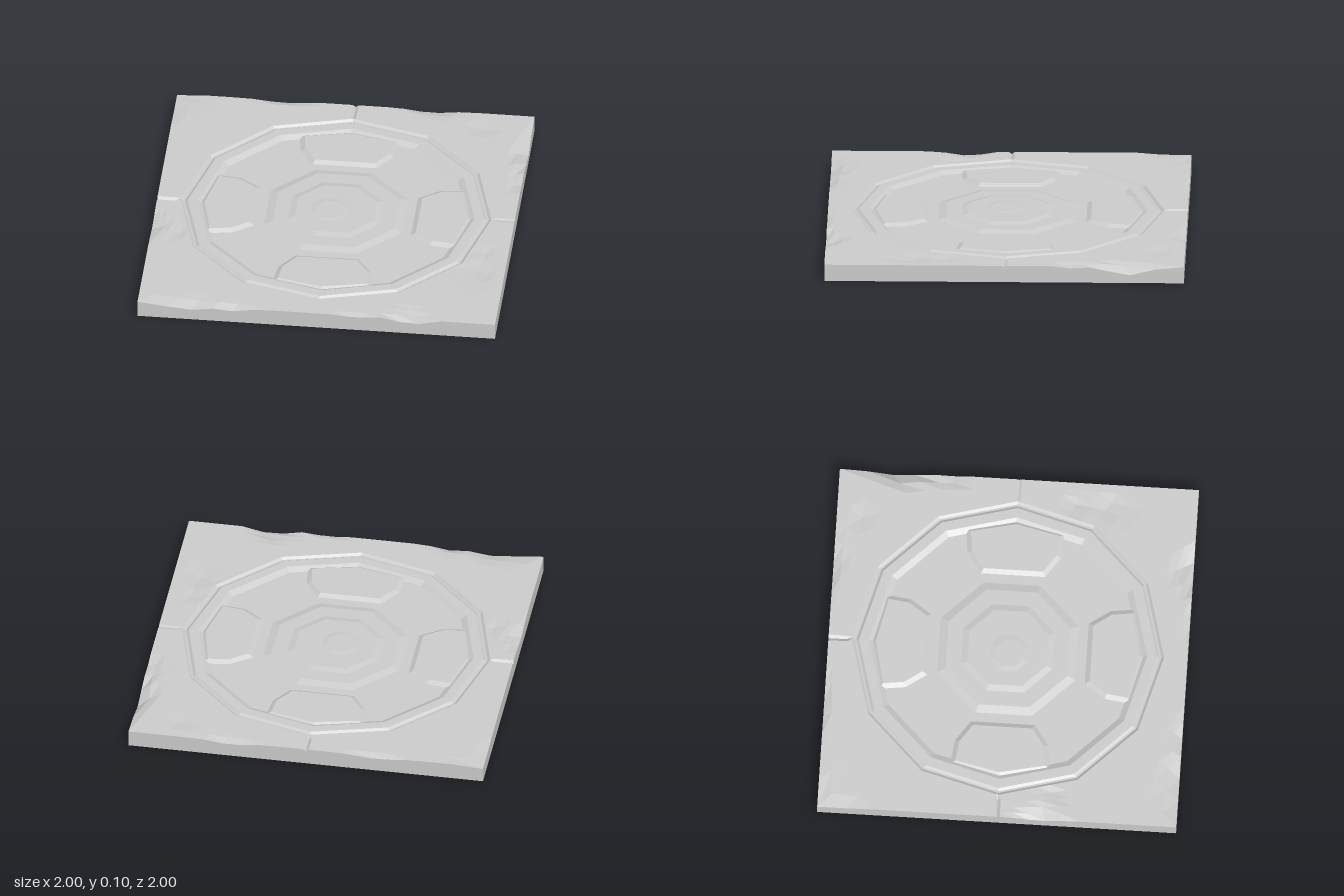
import * as THREE from 'three';

const TOP = 0.095;    // slab surface
const FLOOR = 0.077;  // sunken basin floor
const R = 0.87;       // outer radius of the twelve-sided ring

const stone = new THREE.MeshStandardMaterial({ color: 0xcccccc, flatShading: true });

function addMesh(parent, name, geometry) {
  const mesh = new THREE.Mesh(geometry, stone);
  mesh.name = name;
  parent.add(mesh);
  return mesh;
}

// Broken spots along the rim: x, z, half width, half length, depth
const chips = [
  [1.0, -0.69, 0.10, 0.20, 0.05], [0.98, -0.40, 0.09, 0.14, 0.018],
  [0.86, 0.50, 0.14, 0.18, 0.01], [0.86, 0.32, 0.09, 0.08, 0.008],
  [-0.72, 1.0, 0.22, 0.12, 0.03], [-0.46, 1.0, 0.12, 0.06, 0.022],
  [0.53, 1.0, 0.16, 0.13, 0.03], [0.22, 1.0, 0.14, 0.04, 0.01],
  [-1.0, 0.24, 0.10, 0.17, 0.022], [-0.84, 0.30, 0.09, 0.10, 0.008],
  [-1.0, -0.92, 0.09, 0.14, 0.02], [-0.40, -1.0, 0.20, 0.04, 0.015],
  [0.42, -1.0, 0.18, 0.07, 0.018], [0.74, -0.85, 0.10, 0.08, 0.008],
];

function surfaceHeight(x, z) {
  let cut = 0;
  for (const [cx, cz, rx, rz, depth] of chips) {
    const d = Math.abs(x - cx) / rx + Math.abs(z - cz) / rz;
    cut = Math.max(cut, depth * Math.min(1, 1.25 * (1 - d)));
  }
  // Joints running from the ring to the back, left and right edges
  if (Math.abs(x) < 0.001 && z < 0) cut = Math.max(cut, 0.012);
  if (Math.abs(z) < 0.001) cut = Math.max(cut, x < 0 ? 0.012 : 0.006);
  return TOP - cut;
}

// Square slab around the ring: rows run from ring to rim, down the wall, to the bottom centre
function slabGeometry() {
  const angles = [];
  for (let deg = 0; deg < 360; deg += 5) {
    if (deg % 90 === 0) angles.push(deg - 1, deg, deg + 1); // narrow joints
    else angles.push(deg);
  }
  const N = angles.length, STEPS = 5, rows = STEPS + 3;
  const positions = [], index = [];
  for (let k = 0; k < rows; k++) {
    for (const deg of angles) {
      const a = THREE.MathUtils.degToRad(deg);
      const s = Math.sin(a), c = Math.cos(a);
      const local = THREE.MathUtils.degToRad(((deg + 30) % 30) - 15);
      const inner = (R * Math.cos(Math.PI / 12)) / Math.cos(local);
      const outer = 1 / Math.max(Math.abs(s), Math.abs(c));
      const t = Math.min(k / STEPS, 1);
      const r = k === rows - 1 ? 0 : inner + (outer - inner) * t;
      const x = r * s, z = r * c;
      const y = k > STEPS ? 0 : k === 0 ? TOP : surfaceHeight(x, z);
      positions.push(x, y, z);
    }
  }
  for (let k = 0; k < rows - 1; k++) {
    for (let i = 0; i < N; i++) {
      const j = (i + 1) % N;
      const a = k * N + i, b = k * N + j, c = a + N, d = b + N;
      index.push(a, d, b);
      if (k < rows - 2) index.push(a, c, d);
    }
  }
  const g = new THREE.BufferGeometry();
  g.setAttribute('position', new THREE.Float32BufferAttribute(positions, 3));
  g.setIndex(index);
  g.computeVertexNormals();
  return g;
}

// Faceted round relief; profile runs from the outside inwards as [radius, y]
function relief(profile, sides, phase = 0) {
  const points = profile.map(([r, y]) => new THREE.Vector2(r, y));
  return new THREE.LatheGeometry(points, sides, phase);
}

// Raised panel with sloped edges that joins the ring band
function panelGeometry() {
  const depth = 0.01, bevel = 0.02;
  const half = [[0.165, 0.465], [0.235, 0.565], [0.25, 0.68]];
  const outline = [
    ...half, [0, 0.735],
    ...half.map(([w, d]) => [-w, d]).reverse(),
  ];
  const shape = new THREE.Shape(outline.map(([w, d]) => new THREE.Vector2(w, d)));
  const g = new THREE.ExtrudeGeometry(shape, {
    depth, bevelEnabled: true, bevelThickness: bevel, bevelSize: 0.035, bevelSegments: 1,
  });
  g.rotateX(-Math.PI / 2);
  g.translate(0, 0.092 - depth - bevel, 0);
  return g;
}

export function createModel() {
  const model = new THREE.Group();
  model.name = 'carvedStoneTile';

  addMesh(model, 'slab', slabGeometry());

  // Narrow groove, flat band, then a slope down to the basin floor
  addMesh(model, 'ringAndBasin', relief([
    [R, TOP], [0.855, 0.084], [0.845, 0.084], [0.83, 0.094],
    [0.775, 0.094], [0.74, FLOOR], [0, FLOOR],
  ], 12));

  // Four panels, one facing each side
  const panel = panelGeometry();
  const panels = new THREE.Group();
  panels.name = 'panels';
  for (let i = 0; i < 4; i++) {
    addMesh(panels, 'panel', panel).rotation.y = (i * Math.PI) / 2;
  }
  model.add(panels);

  // Stepped octagonal medallion; radii are given to the flats
  const flats = 1 / Math.cos(Math.PI / 8);
  addMesh(model, 'medallion', relief([
    [0.385 * flats, FLOOR], [0.34 * flats, 0.089], [0.255 * flats, 0.089],
    [0.22 * flats, 0.097], [0, 0.097],
  ], 8, Math.PI / 8));

  // Worn boss in the middle
  addMesh(model, 'centreBoss', relief([
    [0.12, 0.0965], [0.085, 0.1], [0, 0.1],
  ], 8, Math.PI / 8)).position.set(-0.03, 0, 0.01);

  return model;
}
